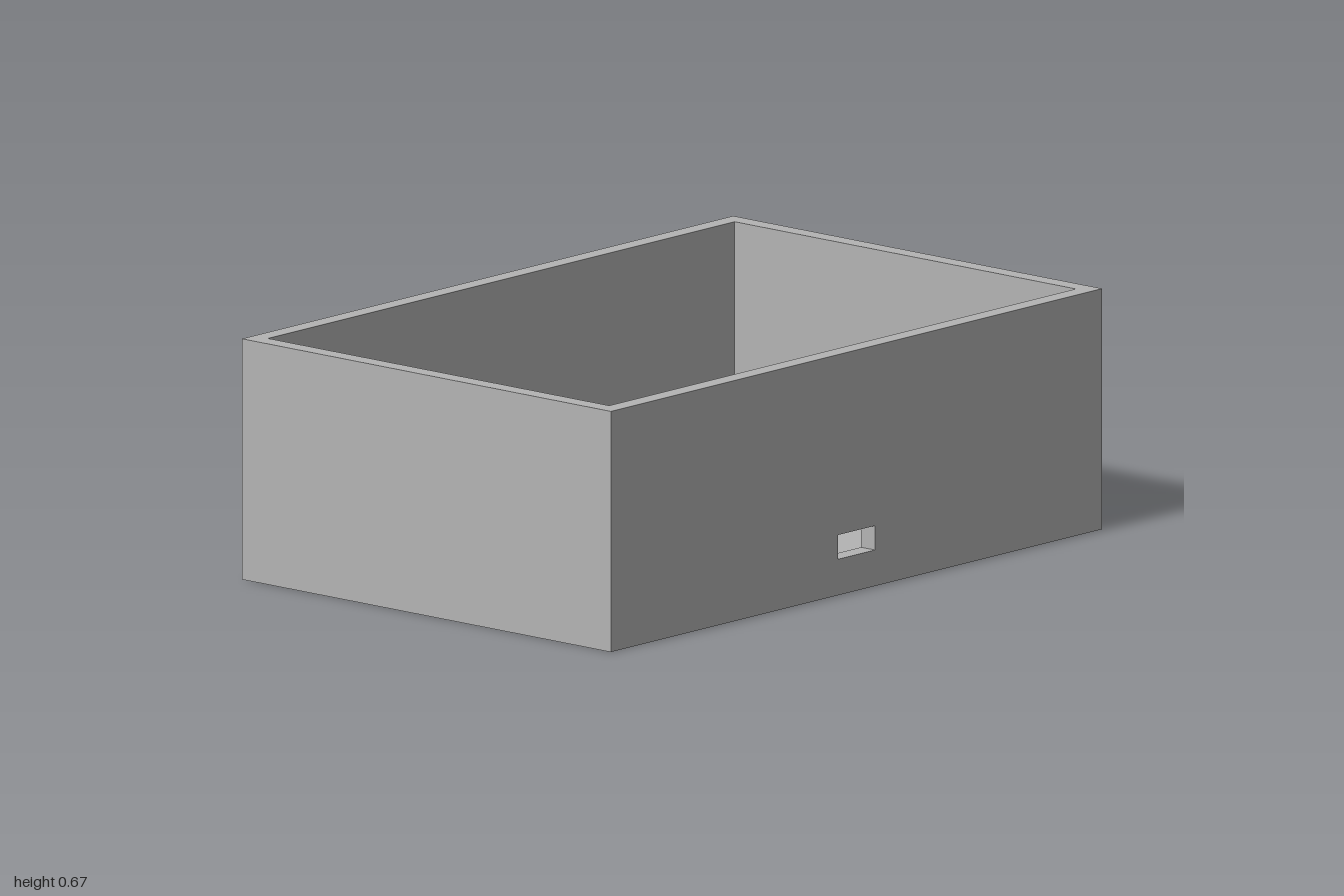
import * as THREE from 'three';

const W = 2, H = 0.667, D = 1.333;      // outer size
const WALL = 0.05, FLOOR = 0.05;
const SLOT = { w: 0.15, y0: 0.1, y1: 0.167 };
const BORE = 0.03;

// Rectangle outline between two heights, centred on x
function rect(target, w, y0, y1) {
  const x = w / 2;
  target.moveTo(-x, y0);
  target.lineTo(x, y0);
  target.lineTo(x, y1);
  target.lineTo(-x, y1);
  target.closePath();
  return target;
}

export function createModel() {
  const grey = new THREE.MeshStandardMaterial({ color: 0xb3b3b3, side: THREE.DoubleSide });
  grey.name = 'plain grey';
  const model = new THREE.Group();
  model.name = 'openEnclosure';

  function add(parent, name, geometry) {
    const mesh = new THREE.Mesh(geometry, grey);
    mesh.name = name;
    parent.add(mesh);
    return mesh;
  }

  // Four walls, each an outer and an inner face
  ['front', 'left', 'back', 'right'].forEach((side, i) => {
    const wall = new THREE.Group();
    wall.name = side + 'Wall';
    wall.rotation.y = i * Math.PI / 2;
    model.add(wall);
    const width = i % 2 ? D : W;
    const reach = (i % 2 ? W : D) / 2;
    const outer = rect(new THREE.Shape(), width, 0, H);
    const inner = rect(new THREE.Shape(), width - 2 * WALL, FLOOR, H);
    if (side === 'front') {
      for (const s of [outer, inner]) s.holes.push(rect(new THREE.Path(), SLOT.w, SLOT.y0, SLOT.y1));
    }
    add(wall, side + 'OuterFace', new THREE.ShapeGeometry(outer)).position.z = reach;
    const inside = add(wall, side + 'InnerFace', new THREE.ShapeGeometry(inner));
    inside.position.z = reach - WALL;
    inside.rotation.y = Math.PI;
  });

  // Lining of the connector slot through the front wall
  const slot = new THREE.Group();
  slot.name = 'connectorSlot';
  slot.position.set(0, (SLOT.y0 + SLOT.y1) / 2, D / 2 - WALL / 2);
  model.add(slot);
  const slotH = SLOT.y1 - SLOT.y0;
  for (const s of [-1, 1]) {
    const level = add(slot, s < 0 ? 'slotSill' : 'slotHead', new THREE.PlaneGeometry(SLOT.w, WALL));
    level.rotation.x = s * Math.PI / 2;
    level.position.y = s * slotH / 2;
    const cheek = add(slot, 'slotCheek', new THREE.PlaneGeometry(WALL, slotH));
    cheek.rotation.y = -s * Math.PI / 2;
    cheek.position.x = s * SLOT.w / 2;
  }

  // Top rim
  const rimShape = rect(new THREE.Shape(), W, -D / 2, D / 2);
  rimShape.holes.push(rect(new THREE.Path(), W - 2 * WALL, WALL - D / 2, D / 2 - WALL));
  const rim = add(model, 'rim', new THREE.ShapeGeometry(rimShape));
  rim.rotation.x = -Math.PI / 2;
  rim.position.y = H;

  // Floor and underside, pierced by four screw holes
  const floorShape = rect(new THREE.Shape(), W - 2 * WALL, WALL - D / 2, D / 2 - WALL);
  const baseShape = rect(new THREE.Shape(), W, -D / 2, D / 2);
  for (const x of [-0.8, 0.8]) {
    for (const z of [-0.467, 0.467]) {
      for (const s of [floorShape, baseShape]) {
        s.holes.push(new THREE.Path().absarc(x, z, BORE, 0, Math.PI * 2, true));
      }
      const bore = add(model, 'screwHole', new THREE.CylinderGeometry(BORE, BORE, FLOOR, 32, 1, true));
      bore.position.set(x, FLOOR / 2, z);
    }
  }
  const floor = add(model, 'floor', new THREE.ShapeGeometry(floorShape, 16));
  floor.rotation.x = -Math.PI / 2;
  floor.position.y = FLOOR;
  add(model, 'underside', new THREE.ShapeGeometry(baseShape, 16)).rotation.x = Math.PI / 2;

  return model;
}
